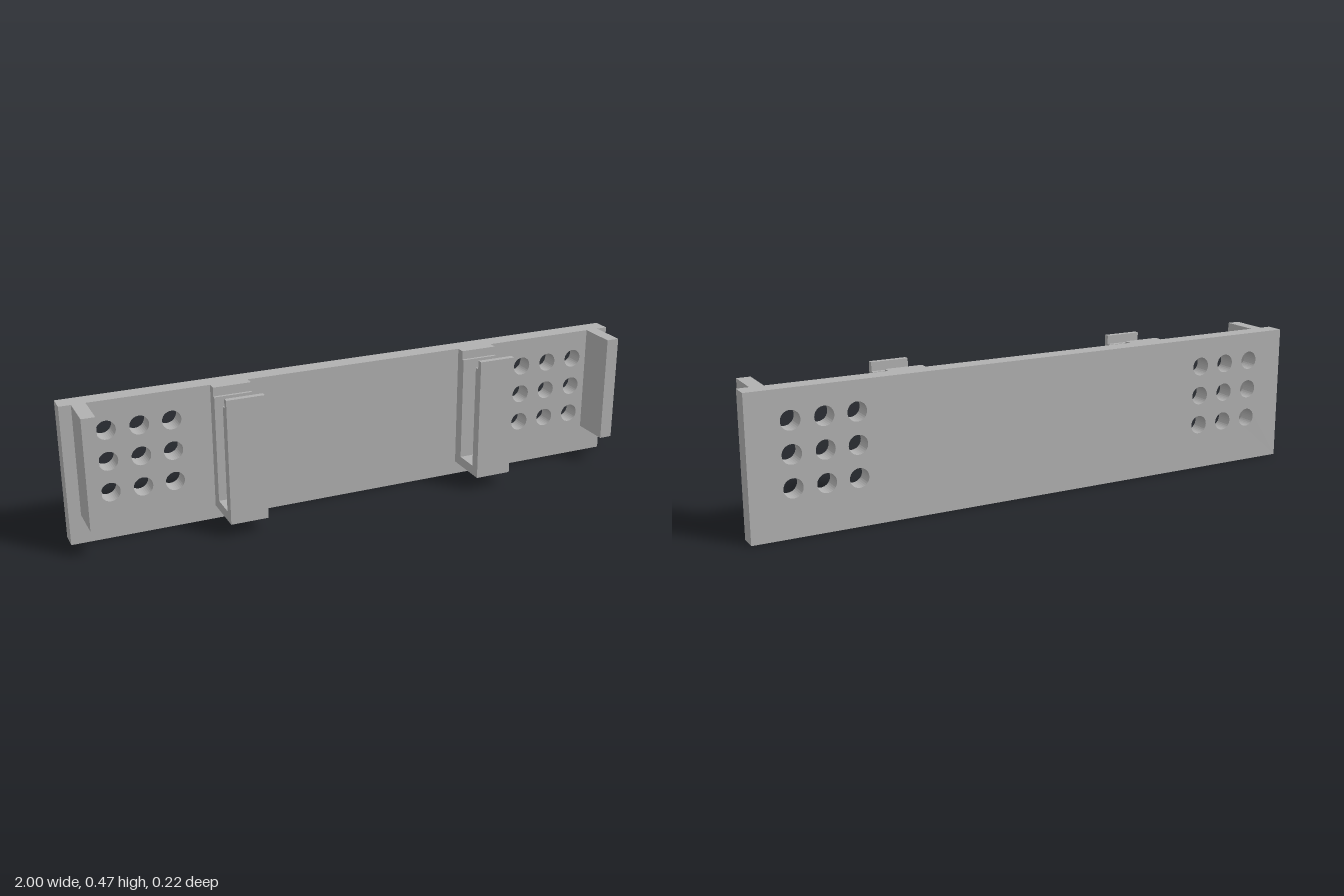
import * as THREE from 'three';

const HEIGHT = 0.473;
const PLATE_FRONT = -0.05;

// Extrude a closed outline by the given depth with crisp edges
function extrude(shape, depth) {
  return new THREE.ExtrudeGeometry(shape, { depth, bevelEnabled: false, curveSegments: 16 });
}

function makePlate(material) {
  const shape = new THREE.Shape([[-1, 0], [1, 0], [1, HEIGHT], [-1, HEIGHT]]
    .map(([x, y]) => new THREE.Vector2(x, y)));
  // Three by three grid of through holes near each end
  for (const side of [-1, 1]) {
    for (const x of [0.647, 0.753, 0.86]) {
      for (const y of [0.16, 0.267, 0.373]) {
        shape.holes.push(new THREE.Path().absarc(side * x, y, 0.032, 0, Math.PI * 2, true));
      }
    }
  }
  const plate = new THREE.Mesh(extrude(shape, 0.062), material);
  plate.position.z = -0.112;
  plate.name = 'perforatedPlate';
  return plate;
}

// U-shaped clip, profile in (z, y), with a stepped lip at the top of both arms
function makeClip(material) {
  const width = 0.128;
  const profile = [
    [PLATE_FRONT, 0.047], [0.112, 0.047], [0.112, HEIGHT], [0.093, HEIGHT],
    [0.093, 0.443], [0.077, 0.443], [0.077, 0.08], [-0.01, 0.08],
    [-0.01, 0.443], [-0.02, 0.443], [-0.02, HEIGHT], [PLATE_FRONT, HEIGHT],
  ];
  const shape = new THREE.Shape(profile.map(([z, y]) => new THREE.Vector2(z, y)));
  const geometry = extrude(shape, width);
  geometry.translate(0, 0, -width / 2);
  geometry.rotateY(-Math.PI / 2); // profile x becomes +z
  return new THREE.Mesh(geometry, material);
}

export function createModel() {
  const model = new THREE.Group();
  model.name = 'clipPanel';
  const grey = new THREE.MeshStandardMaterial({ color: 0xb0b0b0 });
  grey.name = 'grey';

  model.add(makePlate(grey));

  for (const side of [-1, 1]) {
    const label = side > 0 ? 'left' : 'right';

    // Clip
    const clip = makeClip(grey);
    clip.position.x = side * 0.451;
    clip.name = label + 'Clip';
    model.add(clip);

    // Upright end flange
    const flange = new THREE.Mesh(new THREE.BoxGeometry(0.045, HEIGHT - 0.099, 0.133), grey);
    flange.position.set(side * 0.938, (HEIGHT + 0.099) / 2, PLATE_FRONT + 0.133 / 2);
    flange.name = label + 'Flange';
    model.add(flange);
  }
  return model;
}
